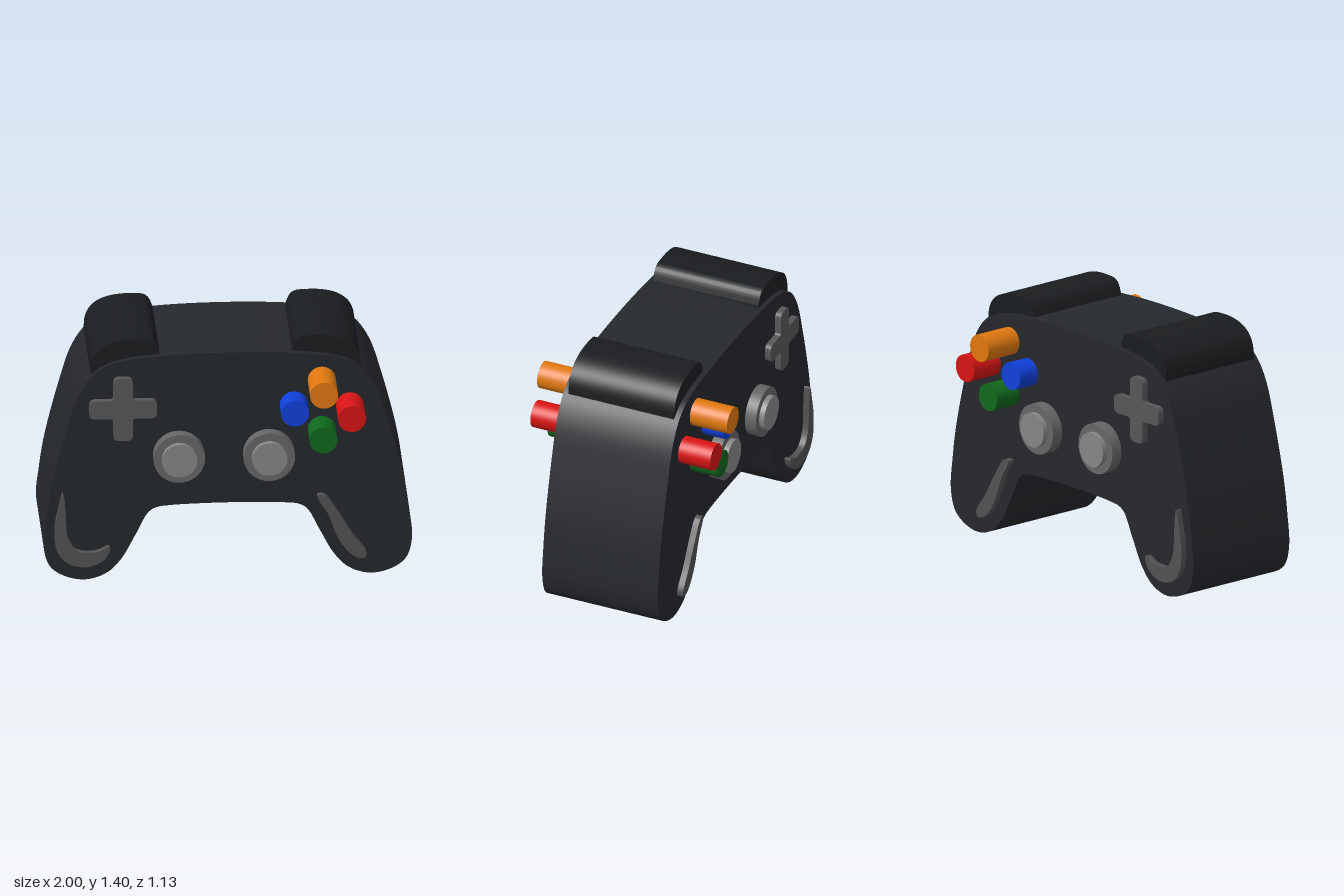
import * as THREE from 'three';
import { toCreasedNormals } from 'three/addons/utils/BufferGeometryUtils.js';

const BODY_HALF = 0.345;

function material(color) {
  return new THREE.MeshStandardMaterial({ color });
}

// Prism of a shape, centred on z = 0 and reaching +-half
function prism(name, shape, half, color, segments = 12) {
  let geo = new THREE.ExtrudeGeometry(shape, { depth: half * 2, bevelEnabled: false, curveSegments: segments });
  geo.translate(0, 0, -half);
  geo = toCreasedNormals(geo, 0.6);
  const mesh = new THREE.Mesh(geo, material(color));
  mesh.name = name;
  return mesh;
}

// Cylinder along z, sticking out of both faces
function rod(name, x, y, radius, half, color) {
  const geo = new THREE.CylinderGeometry(radius, radius, half * 2, 48);
  geo.rotateX(Math.PI / 2);
  const mesh = new THREE.Mesh(geo, material(color));
  mesh.name = name;
  mesh.position.set(x, y, 0);
  return mesh;
}

// Smooth closed outline through points
function smoothShape(points) {
  const curve = new THREE.CatmullRomCurve3(points.map(([x, y]) => new THREE.Vector3(x, y, 0)), true, 'centripetal');
  return new THREE.Shape(curve.getPoints(points.length * 8).slice(0, -1).map((p) => new THREE.Vector2(p.x, p.y)));
}

function bodyShape() {
  // Right half from bottom centre round to top centre, then mirrored
  const half = [
    [0, 0.44], [0.16, 0.438], [0.31, 0.432], [0.385, 0.422], [0.43, 0.395], [0.5, 0.265], [0.58, 0.12],
    [0.66, 0.04], [0.77, 0.005], [0.88, 0.025], [0.965, 0.085], [1, 0.2], [0.985, 0.38], [0.955, 0.57],
    [0.875, 0.89], [0.81, 1.09], [0.74, 1.2], [0.66, 1.26], [0.55, 1.293], [0.3, 1.317], [0, 1.325],
  ];
  const mirrored = half.slice(1, -1).reverse().map(([x, y]) => [-x, y]);
  return smoothShape([...half, ...mirrored]);
}

function shoulderShape(side, shift) {
  const X = (x) => side * x + shift;
  const s = new THREE.Shape();
  s.moveTo(X(0.735), 1.205);
  s.lineTo(X(0.733), 1.25);
  s.bezierCurveTo(X(0.72), 1.36, X(0.63), 1.402, X(0.5), 1.404);
  s.lineTo(X(0.44), 1.402);
  s.bezierCurveTo(X(0.38), 1.4, X(0.375), 1.36, X(0.36), 1.32);
  s.lineTo(X(0.355), 1.25);
  s.closePath();
  return s;
}

// Plus sign with rounded arm ends and soft inner corners
function crossShape(cx, cy, arm, w, r, fillet) {
  const s = new THREE.Shape();
  for (let i = 0; i < 4; i++) {
    const c = Math.round(Math.cos(i * Math.PI / 2)), n = Math.round(Math.sin(i * Math.PI / 2));
    const P = (x, y) => [cx + x * c - y * n, cy + x * n + y * c];
    if (i === 0) s.moveTo(...P(w + fillet, -w));
    else s.lineTo(...P(w + fillet, -w));
    s.lineTo(...P(arm - r, -w));
    s.quadraticCurveTo(...P(arm, -w), ...P(arm, -w + r));
    s.lineTo(...P(arm, w - r));
    s.quadraticCurveTo(...P(arm, w), ...P(arm - r, w));
    s.lineTo(...P(w + fillet, w));
    s.quadraticCurveTo(...P(w, w), ...P(w, w + fillet));
  }
  return s;
}

export function createModel() {
  const model = new THREE.Group();
  model.name = 'gameController';

  // Main shell and shoulder buttons
  model.add(prism('body', bodyShape(), BODY_HALF, 0x25282c));
  model.add(prism('leftShoulder', shoulderShape(1, -0.009), 0.315, 0x1a1d1f, 20));
  model.add(prism('rightShoulder', shoulderShape(-1, -0.009), 0.315, 0x1a1d1f, 20));

  // Direction pad
  model.add(prism('directionPad', crossShape(-0.57, 1.015, 0.184, 0.053, 0.035, 0.015), 0.38, 0x575757, 8));

  // Thumb sticks: wide base with a smaller cap
  [['rightStick', -0.267, 0.73], ['leftStick', 0.222, 0.728]].forEach(([name, x, y]) => {
    const stick = new THREE.Group();
    stick.name = name;
    stick.add(rod('stickBase', x, y, 0.14, 0.41, 0x666666));
    stick.add(rod('stickCap', x, y, 0.096, 0.44, 0x868686));
    model.add(stick);
  });

  // Coloured buttons, each with its own length
  [
    ['orangeButton', 0.51, 1.152, 0.567, 0xe0780f],
    ['redButton', 0.663, 0.997, 0.537, 0xd81414],
    ['blueButton', 0.358, 1.01, 0.474, 0x1040dc],
    ['greenButton', 0.51, 0.861, 0.505, 0x10681c],
  ].forEach(([name, x, y, half, color]) => model.add(rod(name, x, y, 0.076, half, color)));

  // Grip inlays
  model.add(prism('rightGripInlay', smoothShape([
    [-0.897, 0.525], [-0.92, 0.44], [-0.942, 0.31], [-0.93, 0.19], [-0.875, 0.118], [-0.78, 0.09], [-0.69, 0.118],
    [-0.65, 0.165], [-0.645, 0.205], [-0.715, 0.178], [-0.82, 0.187], [-0.87, 0.262], [-0.882, 0.41],
  ].reverse()), 0.38, 0x525252));
  model.add(prism('leftGripInlay', smoothShape([
    [0.485, 0.48], [0.522, 0.482], [0.597, 0.38], [0.677, 0.246], [0.75, 0.14], [0.742, 0.108],
    [0.687, 0.118], [0.607, 0.21], [0.543, 0.37],
  ].reverse()), 0.38, 0x525252));

  return model;
}
